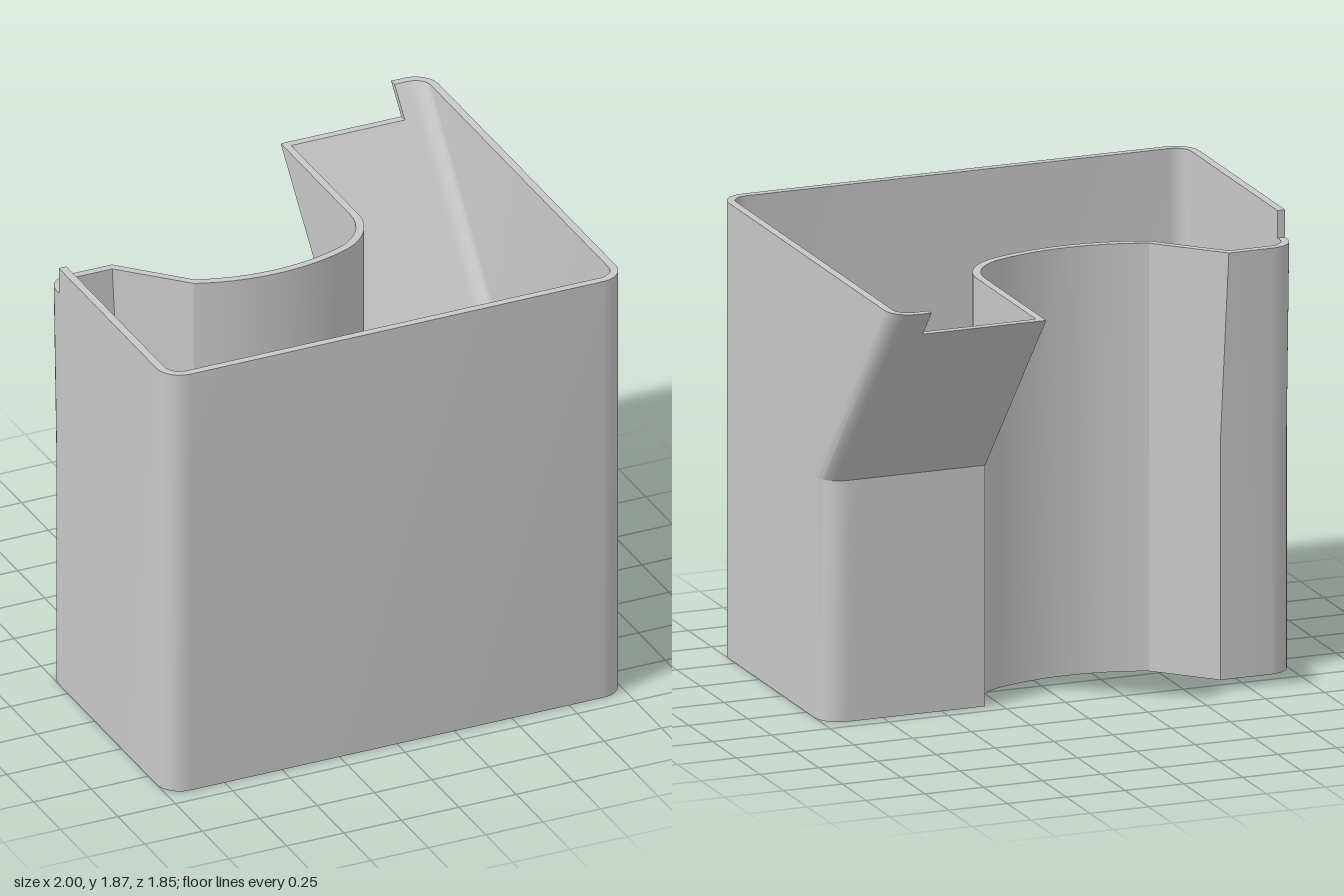
import * as THREE from 'three';
import { toCreasedNormals } from 'three/addons/utils/BufferGeometryUtils.js';

const HIGH = 1.87, LOW = 1.757, KINK = 0.99, FLOOR = 0.035, WALL = 0.033;
const SLOPE = 0.841, SLIGHT = 0.033; // backward lean per unit of height above the kink
const rad = THREE.MathUtils.degToRad;

// Plan outline, inset by d. Each point: x, z, rim height, lean in z, lean in x.
function outline(d) {
  const pts = [];
  const add = (x, z, top, lz = 0, lx = 0) => pts.push({ x, z, top, lz, lx });
  const arc = (cx, cz, r, a0, a1, n, top, lean = 0) => {
    for (let i = 0; i <= n; i++) {
      const a = a0 + (a1 - a0) * i / n;
      add(cx + r * Math.sin(a), cz + r * Math.cos(a), top, lean);
    }
  };
  const r = 0.1 - d, back = -0.185 + d;
  // front corners and the leaning rear corner
  arc(-0.9, 0.825, r, rad(-90), 0, 6, HIGH);
  arc(0.9, 0.825, r, 0, rad(90), 6, HIGH);
  arc(0.9, -0.085, r, rad(90), rad(180), 6, HIGH, SLOPE);
  // step down to the lowered rear rim
  add(0.84, back, HIGH, SLOPE);
  add(0.84, back, LOW, SLOPE);
  // end of the sloping chute, then the curved recess
  const R = 0.243 + d, start = Math.acos(d / R);
  add(0.072 + R * Math.sin(start), back, LOW, SLOPE);
  arc(0.072, -0.185, R, start, rad(21.5), 10, LOW);
  arc(-0.15, -0.75, 0.85 + d, rad(21.5), rad(-22.1), 12, LOW);
  // diagonal wall and slightly leaning rear corner
  add(-0.685 - d * 0.414, back, LOW, SLIGHT, SLIGHT);
  arc(-0.9, -0.085, r, rad(180), rad(270), 6, LOW, SLIGHT);
  // step back up to the side wall
  add(-1 + d, -0.085, LOW);
  add(-1 + d, -0.085, HIGH);
  return pts;
}

function at(p, y) {
  const h = Math.max(0, y - KINK);
  return new THREE.Vector3(p.x - p.lx * h, y, p.z - p.lz * h);
}

function quadsToGeometry(quads) {
  const pos = [], tri = new THREE.Triangle();
  for (const [a, b, c, d] of quads) {
    for (const t of [[a, b, c], [a, c, d]]) {
      if (tri.set(...t).getArea() > 1e-7) t.forEach(v => pos.push(v.x, v.y, v.z));
    }
  }
  const g = new THREE.BufferGeometry();
  g.setAttribute('position', new THREE.Float32BufferAttribute(pos, 3));
  return toCreasedNormals(g, 0.35);
}

// Wall surface following the outline, from base to kink to rim
function wallQuads(pts, base, inward) {
  const quads = [];
  pts.forEach((p, i) => {
    const q = pts[(i + 1) % pts.length];
    for (const [p0, p1, q0, q1] of [[base, KINK, base, KINK], [KINK, p.top, KINK, q.top]]) {
      const quad = [at(p, p0), at(q, q0), at(q, q1), at(p, p1)];
      quads.push(inward ? quad.reverse() : quad);
    }
  });
  return quads;
}

// Flat plate over the outline, facing up or down
function plate(pts, y, up) {
  const flat = [];
  for (const p of pts) {
    const v = new THREE.Vector2(p.x, up ? -p.z : p.z);
    if (!flat.some(o => o.distanceTo(v) < 1e-4)) flat.push(v);
  }
  const g = new THREE.ShapeGeometry(new THREE.Shape(flat));
  return g.rotateX(up ? -Math.PI / 2 : Math.PI / 2).translate(0, y, 0);
}

export function createModel() {
  const group = new THREE.Group();
  group.name = 'container';
  const grey = new THREE.MeshStandardMaterial({ color: 0xc8c8c8 });
  grey.name = 'light grey';
  const add = (name, geometry) => {
    const mesh = new THREE.Mesh(geometry, grey);
    mesh.name = name;
    group.add(mesh);
  };

  const outer = outline(0), inner = outline(WALL);
  add('outerWall', quadsToGeometry(wallQuads(outer, 0, false)));
  add('innerWall', quadsToGeometry(wallQuads(inner, FLOOR, true)));

  // rim strip, which also closes the ends of the two steps
  add('rim', quadsToGeometry(outer.map((p, i) => {
    const j = (i + 1) % outer.length, q = outer[j];
    return [at(p, p.top), at(q, q.top), at(inner[j], inner[j].top), at(inner[i], inner[i].top)];
  })));

  add('underside', plate(outer, 0, false));
  add('floor', plate(inner, FLOOR, true));
  return group;
}
